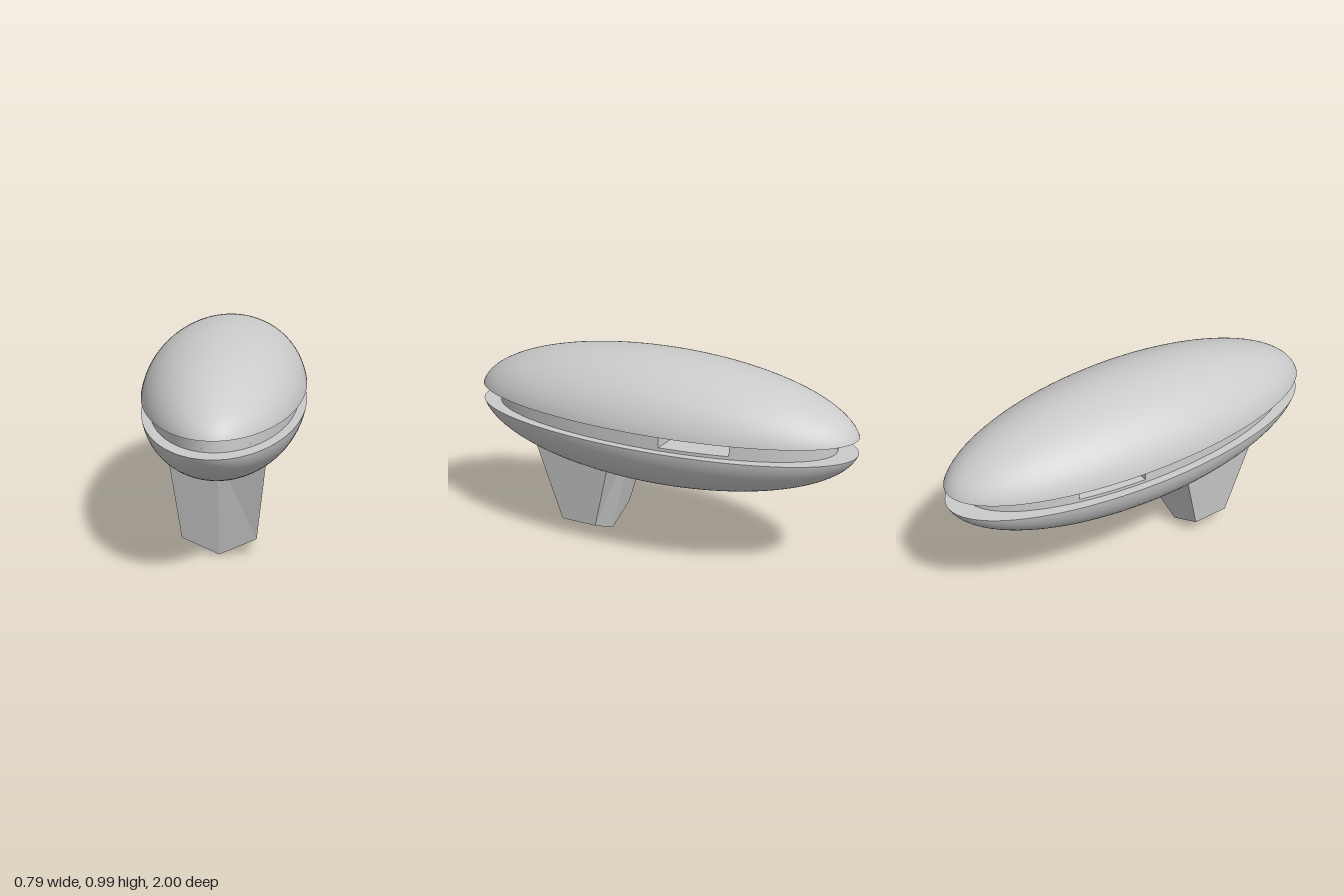
import * as THREE from 'three';
import { mergeGeometries } from 'three/addons/utils/BufferGeometryUtils.js';

const RX = 0.396, RY = 0.32, RZ = 1.008, MID = 0.665, GAP = 0.04;
const CORE_X = 0.353, CORE_Z = 0.9;

export function createModel() {
  const group = new THREE.Group();
  const material = new THREE.MeshStandardMaterial({ color: 0xcccccc });
  const add = (name, geometry, mat = material) => {
    const mesh = new THREE.Mesh(geometry, mat);
    mesh.name = name;
    group.add(mesh);
  };

  // Upper and lower shells: ellipsoid caps, each closed by a flat rim
  const cut = Math.acos(GAP / RY);
  for (const top of [true, false]) {
    const dome = new THREE.SphereGeometry(1, 96, 40, 0, Math.PI * 2, top ? 0 : Math.PI - cut, cut);
    const rim = new THREE.RingGeometry(0.86, Math.sin(cut), 96, 1);
    rim.rotateX(top ? Math.PI / 2 : -Math.PI / 2);
    rim.translate(0, (top ? GAP : -GAP) / RY, 0);
    const shell = mergeGeometries([dome, rim]);
    shell.scale(RX, RY, RZ);
    shell.translate(0, MID, 0);
    add(top ? 'upperShell' : 'lowerShell', shell);
  }

  // Recessed core, built in layers so a slot passes through from side to side
  const coreSlab = (name, y0, y1, zMin, zMax) => {
    const a0 = Math.asin(Math.max(-1, zMin / CORE_Z));
    const a1 = Math.asin(Math.min(1, zMax / CORE_Z));
    const n = 48, shape = [], normalOf = (x, z) =>
      new THREE.Vector3(x / CORE_X ** 2, 0, z / CORE_Z ** 2).normalize();
    // Right-hand arc then its mirror; shape y is -z
    for (const side of [1, -1]) {
      for (let i = 0; i <= n; i++) {
        const t = side > 0 ? i / n : 1 - i / n;
        const a = a1 + (a0 - a1) * t;
        shape.push(new THREE.Vector2(side * CORE_X * Math.cos(a), -CORE_Z * Math.sin(a)));
      }
    }
    const g = new THREE.ExtrudeGeometry(new THREE.Shape(shape), { depth: y1 - y0, bevelEnabled: false });
    g.rotateX(-Math.PI / 2);
    g.translate(0, y0, 0);
    // Smooth the curved wall, leaving the caps and slot ends flat
    const p = g.attributes.position, nor = g.attributes.normal;
    for (let i = 0; i < p.count; i++) {
      const v = normalOf(p.getX(i), p.getZ(i));
      const f = new THREE.Vector3().fromBufferAttribute(nor, i);
      if (Math.abs(f.y) < 0.5 && f.dot(v) > 0.9) nor.setXYZ(i, v.x, v.y, v.z);
    }
    add(name, g);
  };
  coreSlab('coreFloor', MID - GAP, 0.64, -CORE_Z, CORE_Z);
  coreSlab('coreCeiling', 0.695, MID + GAP, -CORE_Z, CORE_Z);
  coreSlab('coreFront', 0.64, 0.695, -0.17, CORE_Z);
  coreSlab('coreBack', 0.64, 0.695, -CORE_Z, -0.5);

  // Tapered foot: V-shaped bottom widening up into the lower shell
  const outline = [[-0.173, 0.08], [0, 0], [0.173, 0.08], [0.221, 0.52], [0, 0.52], [-0.221, 0.52]];
  const verts = [];
  for (const front of [true, false]) {
    for (const [x, y] of outline) {
      const upper = y > 0.3;
      verts.push(x, y, front ? (upper ? 0.595 : 0.47) : (upper ? 0.155 : 0.28));
    }
  }
  const index = [];
  for (const [a, b, c] of [[0, 1, 4], [1, 2, 4], [2, 3, 4], [0, 4, 5]]) {
    index.push(a, b, c, a + 6, c + 6, b + 6);
  }
  for (let i = 0; i < 6; i++) {
    const j = (i + 1) % 6;
    index.push(i, i + 6, j + 6, i, j + 6, j);
  }
  const foot = new THREE.BufferGeometry();
  foot.setAttribute('position', new THREE.Float32BufferAttribute(verts, 3));
  foot.setIndex(index);
  const flat = foot.toNonIndexed();
  flat.computeVertexNormals();
  const footMaterial = material.clone();
  footMaterial.flatShading = true;
  add('foot', flat, footMaterial);

  return group;
}
